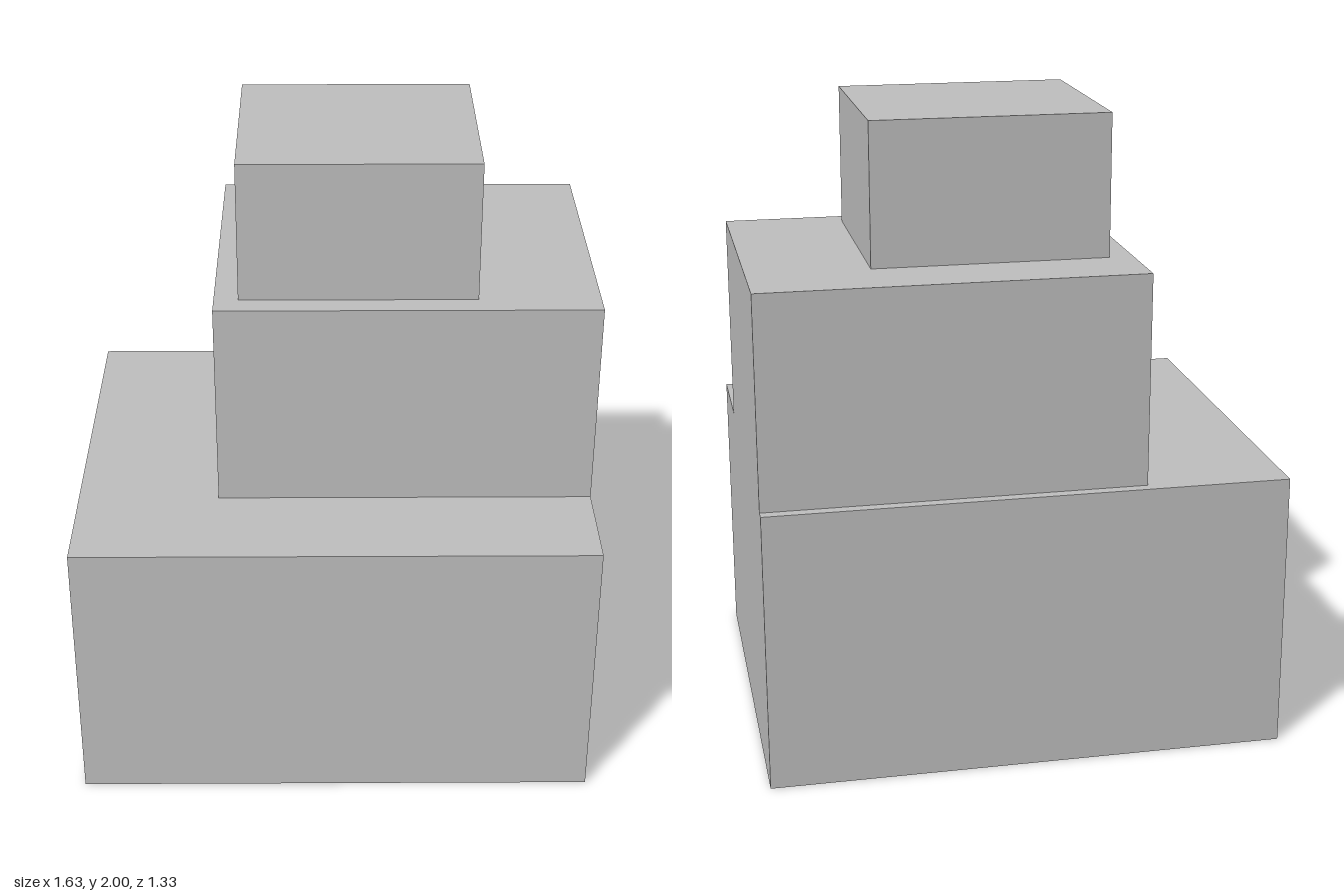
import * as THREE from 'three';

// Stepped hollow block: each tier is a wall shell with a flat deck around the next tier.
const TIERS = [
  { name: 'base', x0: -0.815, x1: 0.815, z0: -0.665, z1: 0.665, y0: 0, y1: 0.89 },
  { name: 'middle', x0: -0.37, x1: 0.815, z0: -0.63, z1: 0.33, y0: 0.89, y1: 1.556 },
  { name: 'top', x0: -0.295, x1: 0.44, z0: -0.41, z1: 0.257, y0: 1.556, y1: 2 },
];

export function createModel() {
  const model = new THREE.Group();
  const grey = new THREE.MeshStandardMaterial({ color: 0xc0c0c0, side: THREE.DoubleSide });
  grey.name = 'light grey';

  // Upright wall facing the given turn about y
  function wall(group, name, width, height, x, y, z, turn) {
    const mesh = new THREE.Mesh(new THREE.PlaneGeometry(width, height), grey);
    mesh.name = name;
    mesh.position.set(x, y, z);
    mesh.rotation.y = turn;
    group.add(mesh);
  }

  // Horizontal strip facing up
  function deck(group, name, x0, x1, z0, z1, y) {
    if (x1 - x0 < 0.001 || z1 - z0 < 0.001) return;
    const geometry = new THREE.PlaneGeometry(x1 - x0, z1 - z0).rotateX(-Math.PI / 2);
    const mesh = new THREE.Mesh(geometry, grey);
    mesh.name = name;
    mesh.position.set((x0 + x1) / 2, y, (z0 + z1) / 2);
    group.add(mesh);
  }

  TIERS.forEach((t, i) => {
    const group = new THREE.Group();
    group.name = t.name + 'Tier';
    const w = t.x1 - t.x0, d = t.z1 - t.z0, h = t.y1 - t.y0;
    const cx = (t.x0 + t.x1) / 2, cy = (t.y0 + t.y1) / 2, cz = (t.z0 + t.z1) / 2;

    // Four walls, open underneath
    wall(group, 'frontWall', w, h, cx, cy, t.z1, 0);
    wall(group, 'backWall', w, h, cx, cy, t.z0, Math.PI);
    wall(group, 'leftWall', d, h, t.x1, cy, cz, Math.PI / 2);
    wall(group, 'rightWall', d, h, t.x0, cy, cz, -Math.PI / 2);

    // Deck around the next tier, or a full roof on the last one
    const n = TIERS[i + 1];
    if (n) {
      deck(group, 'frontDeck', t.x0, t.x1, n.z1, t.z1, t.y1);
      deck(group, 'backDeck', t.x0, t.x1, t.z0, n.z0, t.y1);
      deck(group, 'leftDeck', n.x1, t.x1, n.z0, n.z1, t.y1);
      deck(group, 'rightDeck', t.x0, n.x0, n.z0, n.z1, t.y1);
    } else {
      deck(group, 'roof', t.x0, t.x1, t.z0, t.z1, t.y1);
    }
    model.add(group);
  });
  return model;
}
